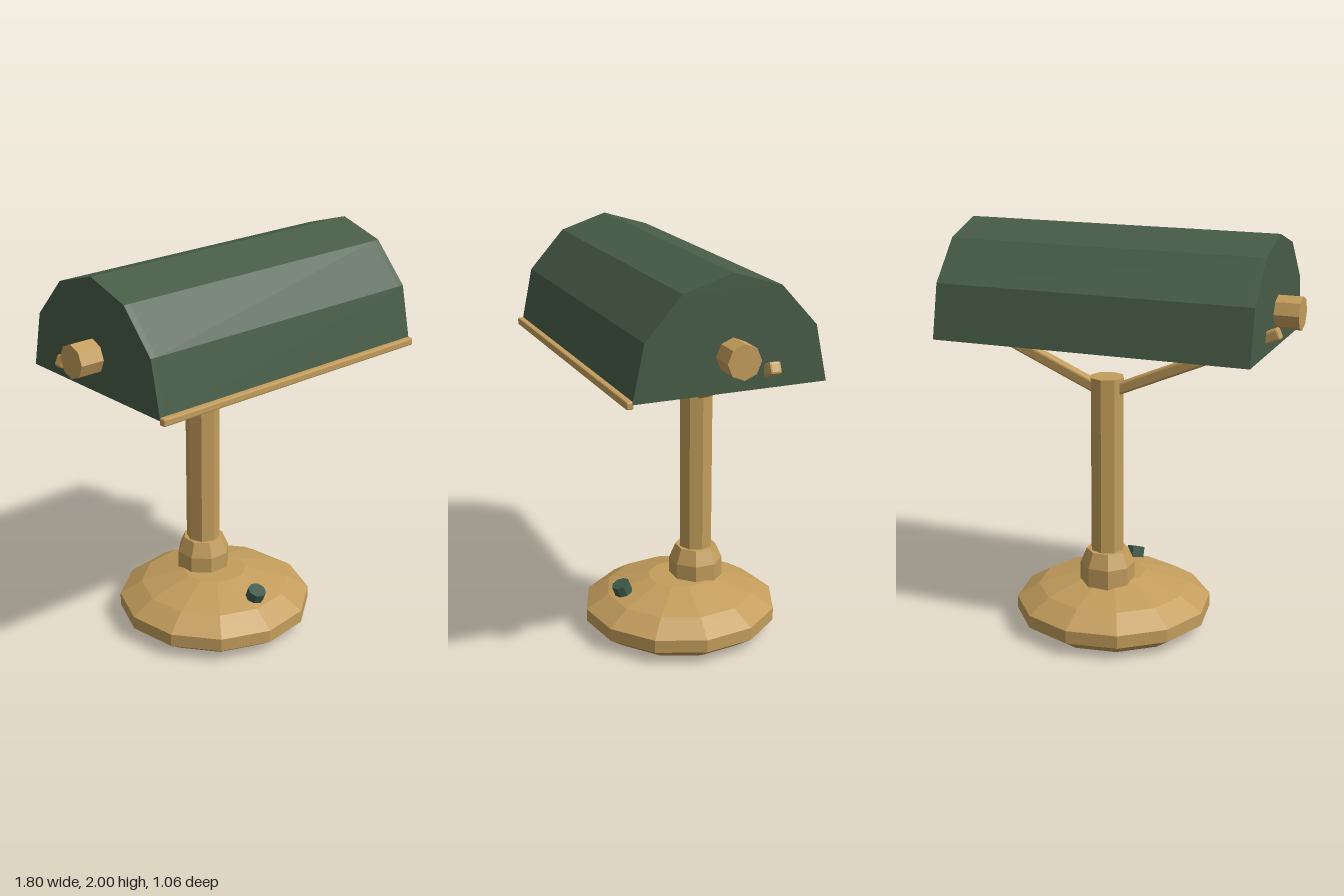
import * as THREE from 'three';
import { RoundedBoxGeometry } from 'three/addons/geometries/RoundedBoxGeometry.js';

function flat(name, color) {
  const m = new THREE.MeshStandardMaterial({ color, flatShading: true });
  m.name = name;
  return m;
}

export function createModel() {
  const brass = flat('brass', 0xc39d5c);
  const green = flat('shadeGreen', 0x475c47);
  const switchGreen = flat('switchGreen', 0x3e5a4a);
  const bulbCream = flat('bulbCream', 0xe6c9a0);

  const lamp = new THREE.Group();
  lamp.name = 'deskLamp';

  function add(name, geometry, material, x = 0, y = 0, z = 0) {
    const mesh = new THREE.Mesh(geometry, material);
    mesh.name = name;
    mesh.position.set(x, y, z);
    lamp.add(mesh);
    return mesh;
  }
  const lathe = (profile, sides) =>
    new THREE.LatheGeometry(profile.map(([r, y]) => new THREE.Vector2(r, y)), sides);

  const poleZ = -0.133;
  const shadeZ = 0.047;
  const axisY = 1.64;

  // Domed foot
  add('base', lathe([[0, 0], [0.393, 0], [0.489, 0.065], [0.489, 0.13],
    [0.378, 0.2], [0.16, 0.265], [0, 0.265]], 12), brass, 0, 0, -0.045).rotation.y = -0.124;

  // Collar and column
  add('collar', lathe([[0, 0.18], [0.135, 0.18], [0.135, 0.345], [0.103, 0.42], [0, 0.42]], 8),
    brass, 0, 0, poleZ).rotation.y = Math.PI / 8;
  add('pole', new THREE.CylinderGeometry(0.085, 0.085, 0.95, 8), brass, 0, 0.825, poleZ);

  // Switch button tilted with the slope of the foot
  add('switchButton', new THREE.CylinderGeometry(0.046, 0.046, 0.056, 8),
    switchGreen, 0, 0.243, 0.27).rotation.x = 0.36;

  // Arms from the column to the ends of the shade, and the end knobs
  for (const side of [1, -1]) {
    const start = new THREE.Vector2(0.03, 1.232);
    const end = new THREE.Vector2(0.84, 1.582);
    const dir = end.clone().sub(start);
    const arm = add(side > 0 ? 'leftArm' : 'rightArm',
      new RoundedBoxGeometry(dir.length(), 0.056, 0.056, 1, 0.01), brass,
      side * (start.x + end.x) / 2, (start.y + end.y) / 2, poleZ);
    arm.rotation.z = side * dir.angle();

    add(side > 0 ? 'leftKnob' : 'rightKnob', new THREE.CylinderGeometry(0.08, 0.08, 0.14, 8),
      brass, side * 0.828, axisY, shadeZ - 0.003).rotation.z = Math.PI / 2;
  }

  // Faceted shade: arched shell plus two end plates
  const outer = [[0.46, 1.475], [0.404, 1.737], [0.231, 1.928], [0, 2],
    [-0.231, 1.928], [-0.404, 1.737], [-0.46, 1.475]];
  const inner = [[0.428, 1.475], [0.376, 1.722], [0.216, 1.9], [0, 1.968],
    [-0.216, 1.9], [-0.376, 1.722], [-0.428, 1.475]];
  const halfLength = 0.78;
  const wall = 0.03;
  const shape = (pts) => new THREE.Shape(pts.map(([x, y]) => new THREE.Vector2(x, y)));
  function plate(name, pts, x, depth) {
    const g = new THREE.ExtrudeGeometry(shape(pts), { depth, bevelEnabled: false });
    add(name, g, green, x, 0, shadeZ).rotation.y = Math.PI / 2;
  }
  plate('shadeShell', [...outer, ...inner.slice().reverse()],
    -halfLength + wall, 2 * (halfLength - wall));
  plate('shadeLeftEnd', outer, halfLength - wall, wall);
  plate('shadeRightEnd', outer, -halfLength, wall);

  // Trim along the front lip
  add('frontTrim', new RoundedBoxGeometry(1.56, 0.036, 0.034, 1, 0.007), brass, 0, 1.472, 0.516);

  // Tube bulb inside the shade
  add('bulb', new THREE.CylinderGeometry(0.048, 0.048, 1.12, 8), bulbCream,
    0, axisY, shadeZ).rotation.z = Math.PI / 2;

  return lamp;
}
